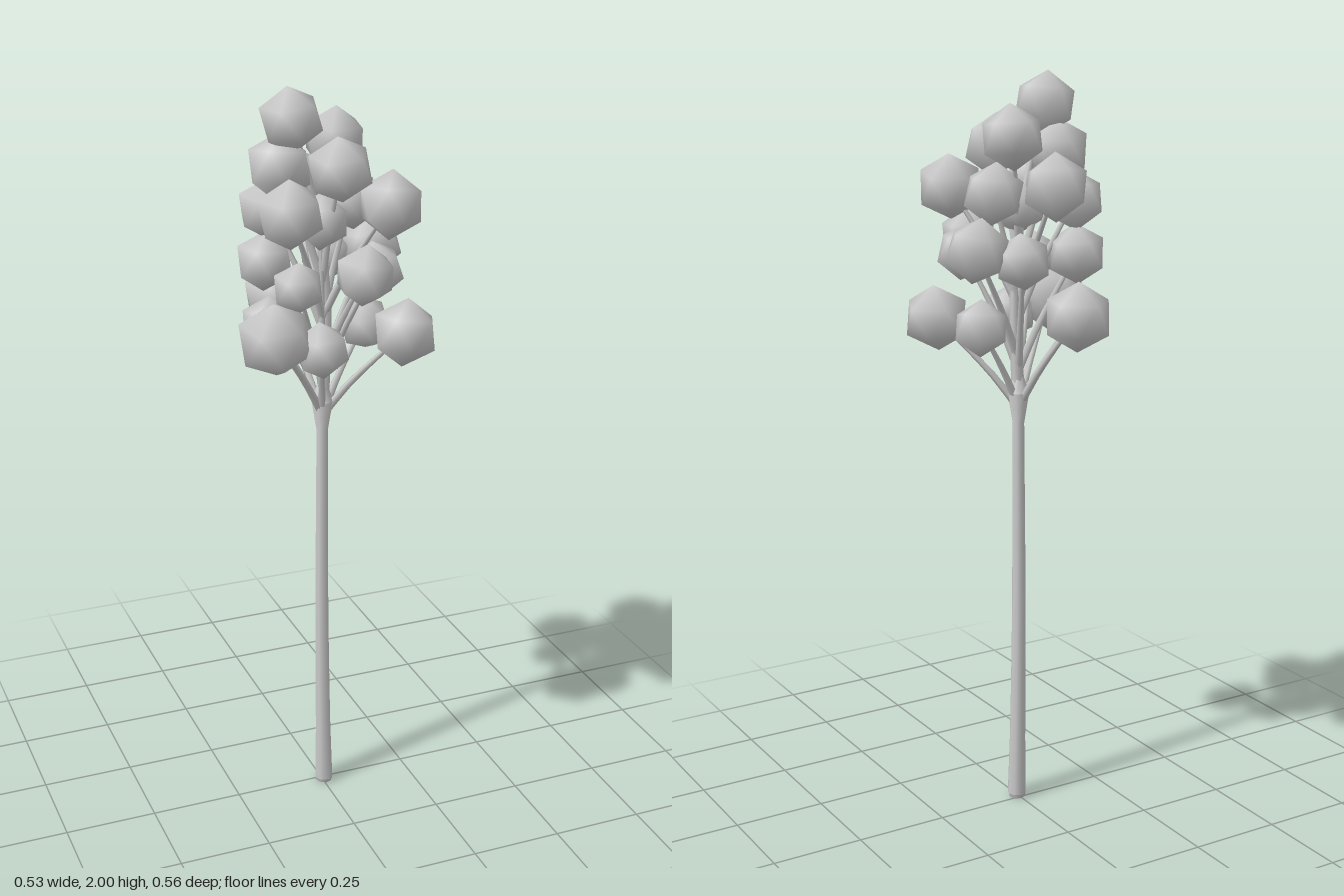
import * as THREE from 'three';
import { mergeVertices } from 'three/addons/utils/BufferGeometryUtils.js';

// Leaf clusters: x, y, z, radius
const CLUSTERS = [
  [-0.086, 1.92, 0.02, 0.084], [0.06, 1.845, -0.06, 0.085], [-0.11, 1.8, 0, 0.088],
  [0.004, 1.81, 0.12, 0.085], [-0.128, 1.71, 0.12, 0.09], [0.14, 1.71, 0.12, 0.088],
  [-0.015, 1.725, -0.147, 0.088], [0.085, 1.7, -0.01, 0.082], [-0.01, 1.66, 0.03, 0.075],
  [-0.12, 1.68, -0.07, 0.08], [0.158, 1.565, -0.05, 0.085], [-0.125, 1.54, -0.075, 0.08],
  [0.034, 1.565, 0.21, 0.08], [0.11, 1.54, 0.1, 0.075], [-0.1, 1.515, 0.1, 0.068],
  [0.05, 1.535, -0.095, 0.075], [-0.055, 1.36, 0.145, 0.075], [-0.175, 1.4, 0.135, 0.1],
  [0.185, 1.37, 0.12, 0.09], [-0.05, 1.4, -0.2, 0.092], [0.13, 1.36, -0.02, 0.075],
  [-0.12, 1.37, -0.07, 0.075],
];

// Smooth twenty-sided ball standing on a corner
function ballGeometry() {
  let g = new THREE.IcosahedronGeometry(1, 0);
  g.deleteAttribute('normal');
  g.deleteAttribute('uv');
  g = mergeVertices(g);
  g.rotateZ(-Math.atan(2 / (1 + Math.sqrt(5))));
  g.computeVertexNormals();
  return g;
}

// Round limb through the points, with a radius for each position t from 0 to 1
function limb(points, radiusAt, segments, sides) {
  const curve = new THREE.CatmullRomCurve3(points.map(p => new THREE.Vector3(...p)));
  const g = new THREE.TubeGeometry(curve, segments, 1, sides);
  const pos = g.attributes.position;
  const v = new THREE.Vector3();
  for (let i = 0; i < pos.count; i++) {
    const t = Math.floor(i / (sides + 1)) / segments;
    const c = curve.getPointAt(t);
    v.fromBufferAttribute(pos, i).sub(c).multiplyScalar(radiusAt(t)).add(c);
    pos.setXYZ(i, v.x, v.y, v.z);
  }
  return g;
}

export function createModel() {
  const tree = new THREE.Group();
  tree.name = 'tree';
  const grey = new THREE.MeshStandardMaterial({ color: 0xcccccc });
  grey.name = 'paleGrey';
  const add = (name, geometry) => {
    const mesh = new THREE.Mesh(geometry, grey);
    mesh.name = name;
    tree.add(mesh);
    return mesh;
  };

  // Trunk: wider foot, slim shaft, flared fork
  const profile = [[0, 0.026], [0.15, 0.022], [0.5, 0.019], [0.93, 0.016], [1, 0.03]];
  const trunkRadius = t => {
    const i = Math.max(1, profile.findIndex(p => p[0] >= t - 1e-6));
    const [t0, r0] = profile[i - 1], [t1, r1] = profile[i];
    return r0 + (r1 - r0) * (t - t0) / (t1 - t0);
  };
  add('trunk', limb([[0.004, 0.012, 0.012], [0, 0.5, 0.008], [0, 1.17, 0.01]], trunkRadius, 28, 8));
  const foot = add('trunkFoot', new THREE.CylinderGeometry(0.026, 0.022, 0.012, 8));
  foot.position.set(0.004, 0.006, 0.012);
  const fork = add('fork', new THREE.CylinderGeometry(0.012, 0.03, 0.05, 8));
  fork.position.set(0, 1.195, 0.01);

  // Central stem inside the crown
  add('stem', limb([[0, 1.15, 0.01], [0.01, 1.45, 0.01], [-0.02, 1.7, 0.01], [-0.085, 1.92, 0.02]],
    t => 0.018 - 0.012 * t, 12, 6));

  // Leaf clusters, each on its own branch
  const ball = ballGeometry();
  CLUSTERS.forEach(([x, y, z, r], i) => {
    const leaf = add('leafCluster', ball);
    leaf.position.set(x, y, z);
    leaf.scale.setScalar(r);
    leaf.rotation.set(0.12 * Math.sin(i * 2.3), 0.3 + 0.15 * Math.sin(i * 1.7), 0.14 * Math.cos(i * 1.9));
    if (i === 0) return;
    const y0 = y < 1.45 ? 1.13 : y - 0.31;
    add('branch', limb([[0, y0, 0.01], [x * 0.35, y0 + (y - y0) * 0.4, z * 0.35 + 0.005], [x, y, z]],
      t => 0.012 - 0.007 * t, 6, 5));
  });
  return tree;
}
